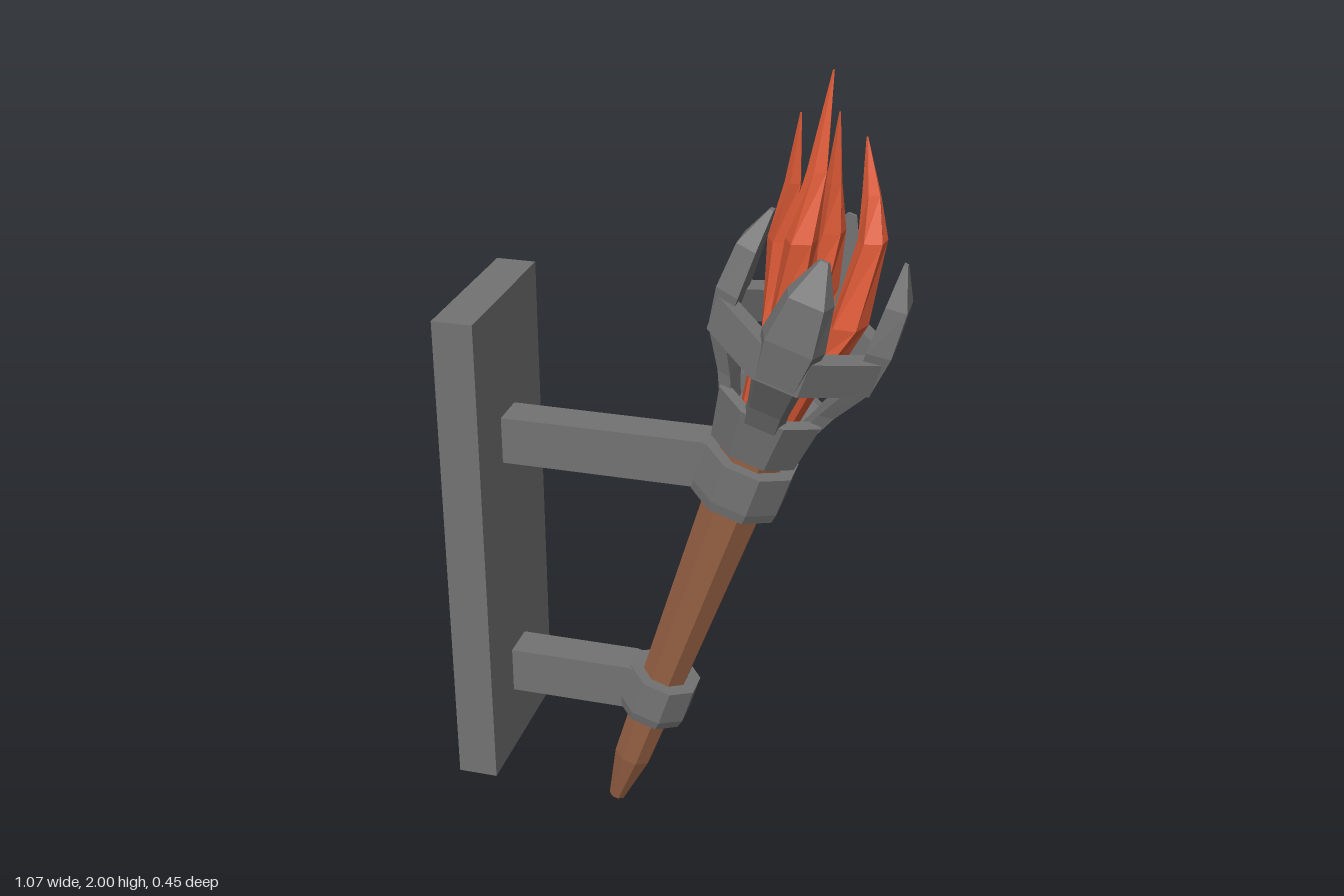
import * as THREE from 'three';

const iron = new THREE.MeshStandardMaterial({ color: 0x737373, flatShading: true });
const wood = new THREE.MeshStandardMaterial({ color: 0x966043, flatShading: true });
const fire = new THREE.MeshStandardMaterial({ color: 0xe25c38, flatShading: true });

const TILT = THREE.MathUtils.degToRad(18.4);

function addMesh(parent, name, geometry, material) {
  const mesh = new THREE.Mesh(geometry, material);
  mesh.name = name;
  parent.add(mesh);
  return mesh;
}

// Skin between rings of [x, y, z] points, counter-clockwise seen from the far end, capped at both ends
function loft(rings) {
  const n = rings[0].length;
  const index = [];
  for (let i = 0; i < rings.length - 1; i++) {
    for (let j = 0; j < n; j++) {
      const a = i * n + j, b = i * n + (j + 1) % n;
      index.push(a, b, b + n, a, b + n, a + n);
    }
  }
  const last = (rings.length - 1) * n;
  for (let j = 1; j < n - 1; j++) {
    index.push(0, j + 1, j, last, last + j, last + j + 1);
  }
  const geometry = new THREE.BufferGeometry();
  geometry.setAttribute('position', new THREE.Float32BufferAttribute(rings.flat(2), 3));
  geometry.setIndex(index);
  geometry.computeVertexNormals();
  return geometry;
}

// Eight-sided turned part with flats facing the axes; rows are [flat radius, height]
function octagonal(rows) {
  const points = rows.map(([r, y]) => new THREE.Vector2(r / Math.cos(Math.PI / 8), y));
  points.unshift(new THREE.Vector2(0, rows[0][1]));
  points.push(new THREE.Vector2(0, rows[rows.length - 1][1]));
  return new THREE.LatheGeometry(points, 8, Math.PI / 8);
}

// Bracket arm with a bevelled section; past bendX it dips to run along the leaning collar
function armGeometry(top, back, bendX, endX) {
  const section = [[0.055, 0], [0.055, -0.12], [0, -0.135], [back + 0.015, -0.135], [back, -0.05], [-0.04, 0]];
  const drop = (endX - bendX) * Math.tan(TILT);
  return loft([[-0.44, 0], [bendX, 0], [endX, drop]].map(([x, d]) =>
    section.map(([z, y]) => [x, top + y - d, z])));
}

// Claw pointing to +x; rows are [height, inner radius, outer radius, half width]
function prongGeometry() {
  const rows = [
    [1.24, 0.085, 0.12, 0.05],
    [1.3, 0.11, 0.145, 0.05],
    [1.4, 0.155, 0.2, 0.062],
    [1.5, 0.155, 0.212, 0.075],
    [1.61, 0.155, 0.205, 0.055],
    [1.7, 0.155, 0.165, 0.012],
  ];
  return loft(rows.map(([y, rIn, rOut, w]) =>
    [[rOut, y, 0.75 * w], [rOut, y, -0.75 * w], [rIn, y, -w], [rIn, y, w]]));
}

// Square ring with cut corners that ties the claws together
function bandGeometry() {
  const outline = (a, b, Path) => new Path([
    [a, -b], [a, b], [b, a], [-b, a], [-a, b], [-a, -b], [-b, -a], [b, -a],
  ].map(([x, y]) => new THREE.Vector2(x, y)));
  const shape = outline(0.2, 0.056, THREE.Shape);
  shape.holes.push(outline(0.155, 0.038, THREE.Path));
  return new THREE.ExtrudeGeometry(shape, { depth: 0.085, bevelEnabled: false }).rotateX(-Math.PI / 2);
}

// Five-sided tongue of fire; rows are [x, y, z, radius]
function flameGeometry(rows) {
  return loft(rows.map(([x, y, z, r], i) => Array.from({ length: 5 }, (_, j) => {
    const a = j * Math.PI * 0.4 + i * 0.25;
    return [x + r * Math.cos(a), y, z - r * Math.sin(a)];
  })));
}

export function createModel() {
  const model = new THREE.Group();
  model.name = 'wallTorch';

  // Wall bracket
  addMesh(model, 'wallPlate', new THREE.BoxGeometry(0.1, 1.25, 0.43), iron).position.set(-0.48, 0.775, -0.01);
  addMesh(model, 'upperArm', armGeometry(1.1, -0.105, 0.07, 0.2), iron);
  addMesh(model, 'lowerArm', armGeometry(0.44, -0.077, -0.12, -0.01), iron);

  // Leaning torch, built upright along its own axis
  const torch = new THREE.Group();
  torch.name = 'torch';
  torch.position.set(-0.167, 0.008, 0.01);
  torch.rotation.z = -TILT;
  model.add(torch);

  addMesh(torch, 'handle', octagonal([[0.02, 0], [0.046, 0.15], [0.078, 1.18]]), wood);
  addMesh(torch, 'lowerCollar', octagonal([[0.082, 0.31], [0.088, 0.335], [0.086, 0.43]]), iron);
  addMesh(torch, 'upperCollar', octagonal([[0.104, 0.985], [0.108, 1.01], [0.108, 1.112]]), iron);
  addMesh(torch, 'cup', octagonal([[0.105, 1.14], [0.11, 1.17], [0.126, 1.27], [0.1, 1.275], [0.08, 1.23]]), iron);
  addMesh(torch, 'band', bandGeometry(), iron).position.y = 1.395;
  for (let i = 0; i < 4; i++) {
    addMesh(torch, 'prong', prongGeometry(), iron).rotation.y = i * Math.PI / 2;
  }

  // Fire
  const emberRows = [[0, 1.22], [0.075, 1.23], [0.095, 1.36], [0.075, 1.43], [0, 1.47]];
  addMesh(torch, 'embers', new THREE.LatheGeometry(emberRows.map(p => new THREE.Vector2(...p)), 7), fire);
  const flames = [
    [[0.25, 1.3, 0.04, 0.05], [0.28, 1.46, 0.085, 0.05], [0.305, 1.64, 0.105, 0.038], [0.33, 1.79, 0.075, 0.024], [0.35, 2, 0.045, 0.002]],
    [[0.23, 1.28, 0.01, 0.05], [0.235, 1.43, 0, 0.042], [0.24, 1.6, -0.005, 0.037], [0.265, 1.74, 0.015, 0.02], [0.28, 1.9, 0.03, 0.002]],
    [[0.32, 1.28, 0, 0.05], [0.4, 1.42, 0.02, 0.046], [0.445, 1.62, 0.01, 0.035], [0.435, 1.72, -0.01, 0.022], [0.415, 1.84, -0.03, 0.002]],
    [[0.27, 1.3, -0.04, 0.05], [0.31, 1.46, -0.09, 0.045], [0.335, 1.6, -0.085, 0.034], [0.34, 1.72, -0.07, 0.02], [0.35, 1.885, -0.048, 0.002]],
  ];
  flames.forEach(rows => addMesh(model, 'flame', flameGeometry(rows), fire));

  return model;
}
